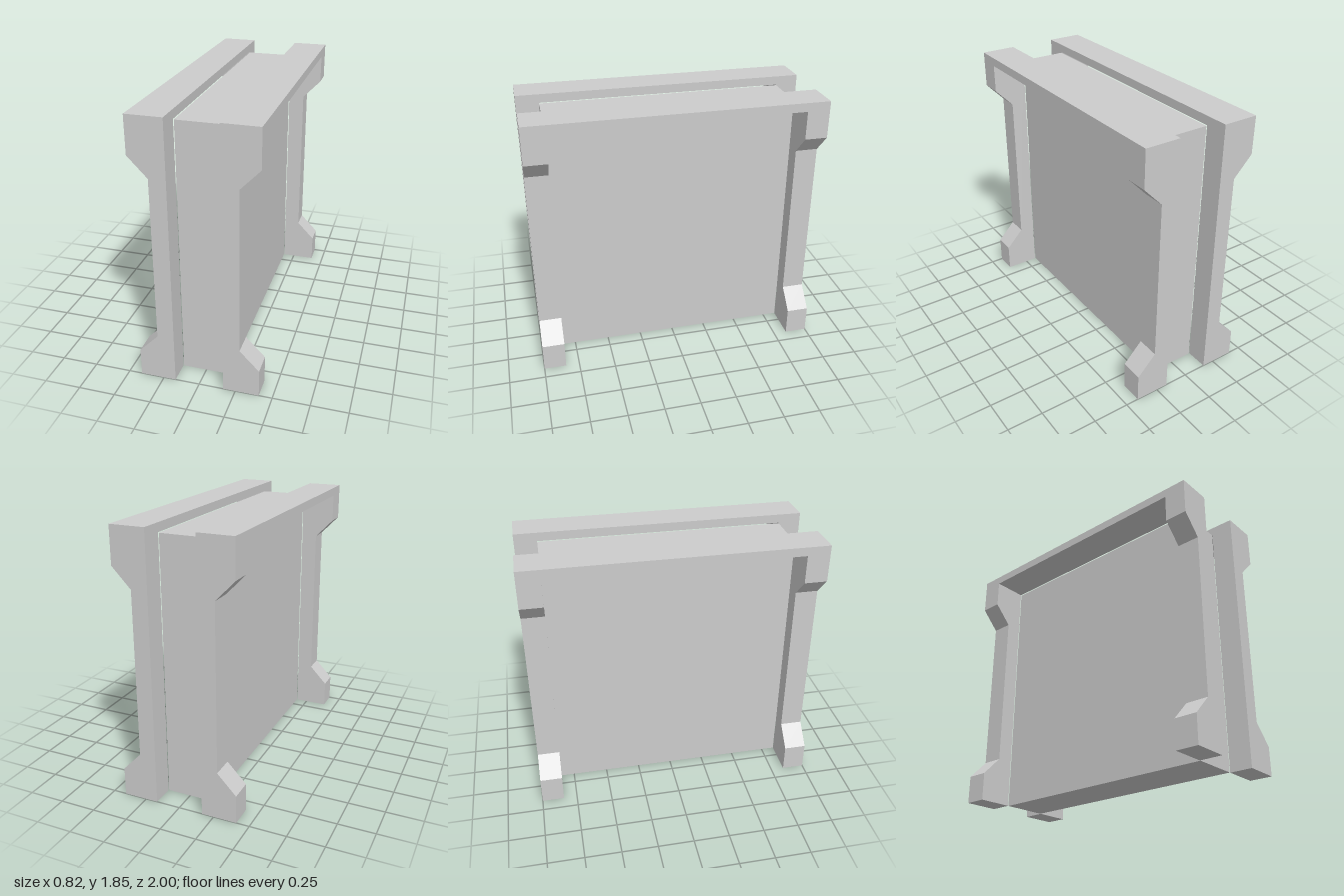
import * as THREE from 'three';

const material = new THREE.MeshStandardMaterial({ color: 0xcccccc, flatShading: true });

const HEIGHT = 1.85, INNER = 0.167, WAIST = 0.28, OUTER = 0.41;
const POST_Z = 0.845, POST_DEPTH = 0.155, BEAM_BOTTOM = 1.79;

function addMesh(parent, name, geometry, x, y, z) {
  const mesh = new THREE.Mesh(geometry, material);
  mesh.name = name;
  mesh.position.set(x, y, z);
  parent.add(mesh);
}

// Post outline: wide foot and head with chamfers to a narrow waist
function postGeometry(side) {
  const outline = [
    [INNER, 0], [OUTER, 0], [OUTER, 0.195], [WAIST, 0.33],
    [WAIST, 1.46], [OUTER, 1.595], [OUTER, HEIGHT], [INNER, HEIGHT],
  ];
  const shape = new THREE.Shape(outline.map(([x, y]) => new THREE.Vector2(side * x, y)));
  return new THREE.ExtrudeGeometry(shape, { depth: POST_DEPTH, bevelEnabled: false });
}

// One portal frame: two posts joined by a thin top beam
function createFrame(side) {
  const frame = new THREE.Group();
  frame.name = side > 0 ? 'leftFrame' : 'rightFrame';
  addMesh(frame, 'frontPost', postGeometry(side), 0, 0, POST_Z);
  addMesh(frame, 'backPost', postGeometry(side), 0, 0, -POST_Z - POST_DEPTH);
  const beam = new THREE.BoxGeometry(OUTER - INNER, HEIGHT - BEAM_BOTTOM, POST_Z * 2);
  addMesh(frame, 'topBeam', beam, side * (OUTER + INNER) / 2, (HEIGHT + BEAM_BOTTOM) / 2, 0);
  return frame;
}

export function createModel() {
  const model = new THREE.Group();
  model.name = 'framedWallPanel';

  // Central slab, with a hairline gap to each frame
  addMesh(model, 'centralSlab', new THREE.BoxGeometry(0.324, 1.787, POST_Z * 2), 0, 1.787 / 2, 0);

  for (const side of [-1, 1]) model.add(createFrame(side));
  return model;
}
